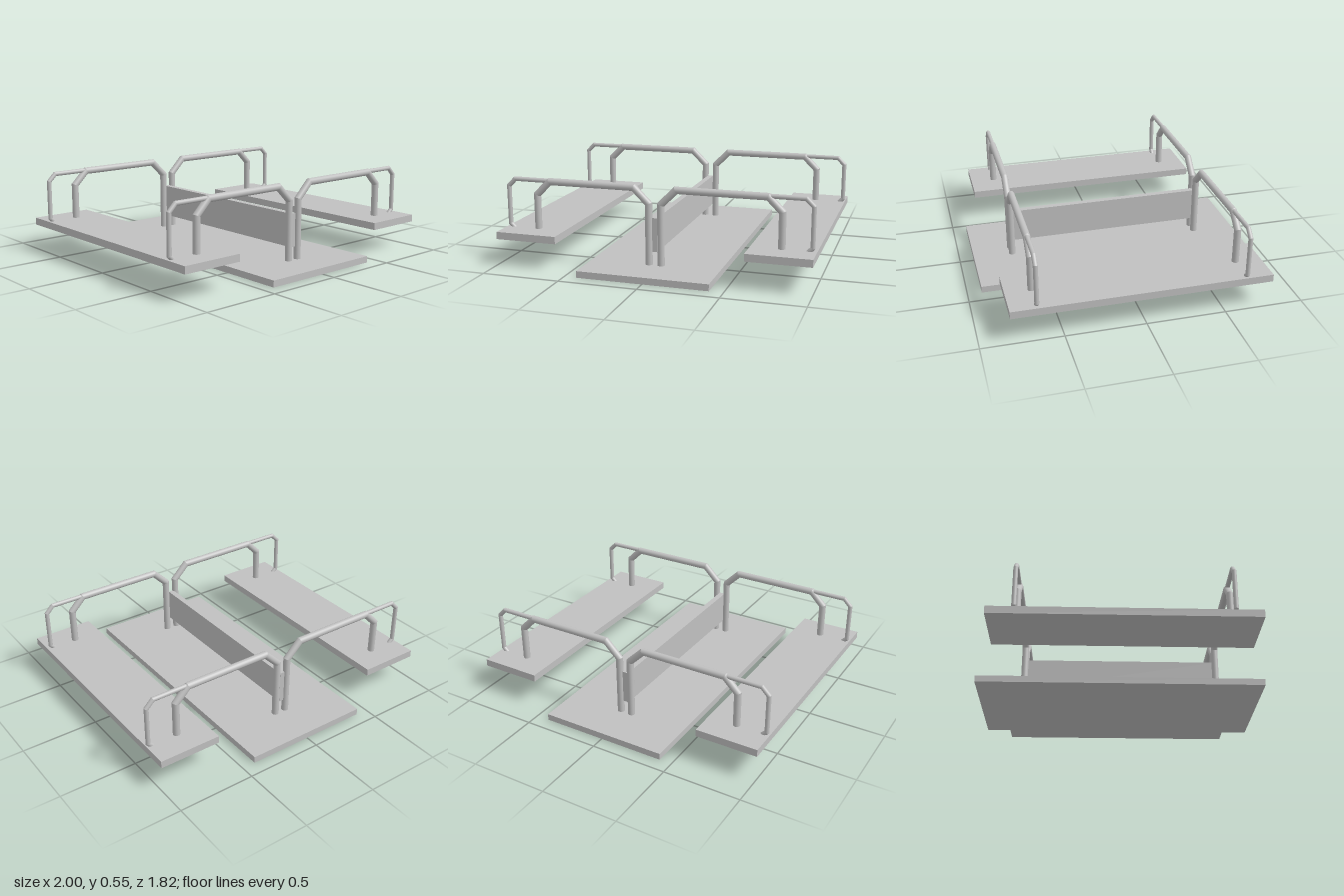
import * as THREE from 'three';

const steel = new THREE.MeshStandardMaterial({ color: 0xc0c0c0 });
steel.name = 'light grey';

// Box given by its lower and upper corners
function board(name, min, max) {
  const geo = new THREE.BoxGeometry(max[0] - min[0], max[1] - min[1], max[2] - min[2]);
  const mesh = new THREE.Mesh(geo, steel);
  mesh.name = name;
  mesh.position.set((min[0] + max[0]) / 2, (min[1] + max[1]) / 2, (min[2] + max[2]) / 2);
  return mesh;
}

// Straight pipe pieces along a flat path, with their ends sheared to meet in mitres
function pipe(name, points, radius, z) {
  const group = new THREE.Group();
  group.name = name;
  const pts = points.map(([x, y]) => new THREE.Vector2(x, y));
  const dirs = pts.slice(1).map((p, i) => p.clone().sub(pts[i]).normalize());

  dirs.forEach((d, i) => {
    const length = pts[i].distanceTo(pts[i + 1]);
    const geo = new THREE.CylinderGeometry(radius, radius, length, 20);
    const side = new THREE.Vector2(d.y, -d.x);
    const slope = (other) => {
      if (!other) return 0;
      const n = d.clone().add(other);
      return -side.dot(n) / d.dot(n);
    };
    const startSlope = slope(dirs[i - 1]);
    const endSlope = slope(dirs[i + 1]);
    const pos = geo.attributes.position;
    for (let v = 0; v < pos.count; v++) {
      const s = pos.getY(v) > 0 ? endSlope : startSlope;
      pos.setY(v, pos.getY(v) + pos.getX(v) * s);
    }
    const mesh = new THREE.Mesh(geo, steel);
    mesh.name = name + 'Section';
    mesh.position.set((pts[i].x + pts[i + 1].x) / 2, (pts[i].y + pts[i + 1].y) / 2, z);
    mesh.rotation.z = Math.atan2(d.y, d.x) - Math.PI / 2;
    group.add(mesh);
  });
  return group;
}

export function createModel() {
  const model = new THREE.Group();
  model.name = 'benchTable';

  // Wide base board, two raised side boards and the upright centre panel
  model.add(
    board('baseBoard', [-0.42, 0, -0.912], [0.412, 0.042, 0.91]),
    board('rightSideBoard', [-1, 0.168, -0.8], [-0.6, 0.215, 0.815]),
    board('leftSideBoard', [0.595, 0.168, -0.8], [0.996, 0.215, 0.815]),
    board('centrePanel', [-0.026, 0.125, -0.642], [0.012, 0.34, 0.655])
  );

  // Pipe frames at the front and back, on both sides
  for (const z of [0.653, -0.635]) {
    for (const side of [-1, 1]) {
      const inner = side < 0 ? 0.042 : 0.036;
      const outer = side > 0 && z > 0 ? 0.968 : 0.981;
      const mirror = (points) => points.map(([x, y]) => [x * side, y]);

      model.add(pipe('mainPipe', mirror([
        [inner, 0.04], [inner, 0.428], [inner + 0.097, 0.524],
        [0.698, 0.524], [0.785, 0.437], [0.785, 0.212]
      ]), 0.0225, z));

      // Thinner brace running on to the outer edge, its foot turned inwards
      model.add(pipe('thinPipe', mirror([
        [0.68, 0.528], [outer - 0.046, 0.528], [outer, 0.482],
        [outer, 0.234], [outer - 0.03, 0.204]
      ]), 0.0145, z));
    }
  }
  return model;
}
